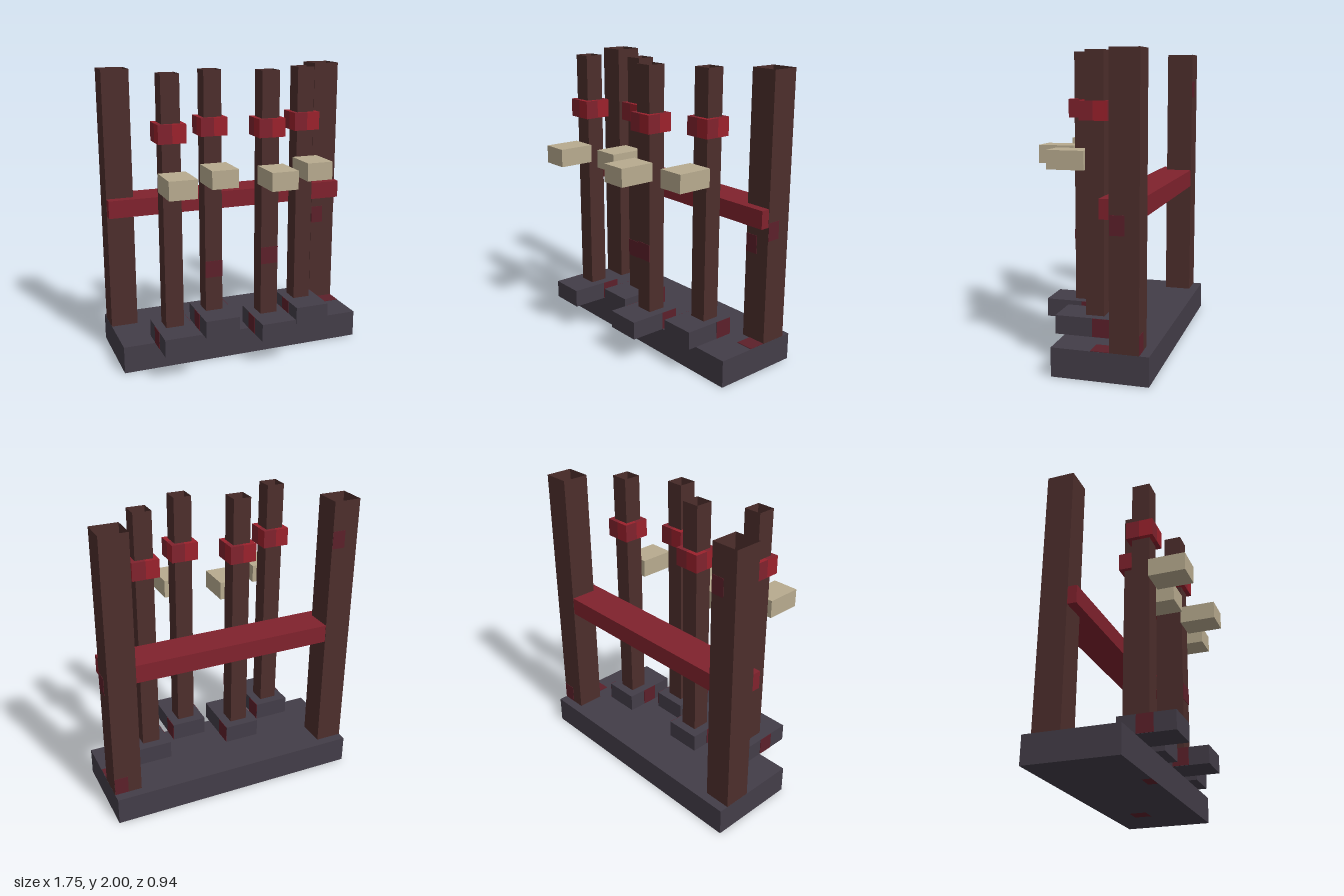
import * as THREE from 'three';

const mat = (name, color, side = THREE.FrontSide) => {
  const m = new THREE.MeshStandardMaterial({ color, side });
  m.name = name;
  return m;
};

export function createModel() {
  const slate = mat('slate', 0x433d48);
  const wood = mat('darkWood', 0x4d2e2c, THREE.DoubleSide);
  const crimson = mat('crimson', 0x80222d);
  const scarlet = mat('scarlet', 0x9b212c);
  const cream = mat('cream', 0xb8ab8f);
  const stain = mat('stain', 0x5c202a);

  const model = new THREE.Group();
  model.name = 'leverRack';

  // Box given by its extents on each axis
  const box = (parent, name, material, [x0, x1], [y0, y1], [z0, z1]) => {
    const mesh = new THREE.Mesh(new THREE.BoxGeometry(x1 - x0, y1 - y0, z1 - z0), material);
    mesh.position.set((x0 + x1) / 2, (y0 + y1) / 2, (z0 + z1) / 2);
    mesh.name = name;
    parent.add(mesh);
    return mesh;
  };

  // Square tube without end caps
  const tube = (parent, name, x, z, width, y0, y1) => {
    const geo = new THREE.BoxGeometry(width, y1 - y0, width);
    const index = Array.from(geo.index.array);
    geo.setIndex([...index.slice(0, 12), ...index.slice(24)]);
    geo.clearGroups();
    const mesh = new THREE.Mesh(geo, wood);
    mesh.position.set(x, (y0 + y1) / 2, z);
    mesh.name = name;
    parent.add(mesh);
  };

  // Thin painted patch centred on a surface
  const T = 0.003;
  const on = (v) => [v - T, v + T];
  const patch = (parent, x, y, z) => box(parent, 'stainPatch', stain, x, y, z);

  // Two-tone collar: each side is split in halves, top and bottom in a checker
  const collar = (parent, x, y, z) => {
    const geo = new THREE.BoxGeometry(0.186, 0.124, 0.186, 2, 1, 2);
    geo.clearGroups();
    const tones = [0, 1, 0, 1, 1, 0, 0, 1, 1, 0, 0, 1, 0, 1, 0, 1];
    tones.forEach((tone, i) => geo.addGroup(i * 6, 6, tone));
    const mesh = new THREE.Mesh(geo, [crimson, scarlet]);
    mesh.position.set(x, y, z);
    mesh.name = 'collar';
    parent.add(mesh);
  };

  // Base slab
  box(model, 'base', slate, [-0.875, 0.875], [0, 0.188], [-0.468, 0.156]);
  patch(model, [0.75, 0.873], on(0.188), [-0.22, -0.1]);
  patch(model, [0.41, 0.53], [0, 0.003], [-0.29, -0.17]);
  patch(model, [-0.38, -0.26], [0, 0.003], [0.09, 0.155]);

  // Tall frame posts and the cross bar running through them
  for (const s of [-1, 1]) tube(model, s > 0 ? 'leftPost' : 'rightPost', s * 0.781, -0.312, 0.187, 0.188, 2);
  box(model, 'crossBar', crimson, [-0.873, 0.873], [1.003, 1.126], [-0.403, -0.156]);
  patch(model, [0.69, 0.78], [0.8, 0.925], on(-0.218));
  patch(model, on(0.874), [0.91, 1.033], [-0.315, -0.22]);
  patch(model, [0.78, 0.873], [0.19, 0.312], on(-0.405));
  patch(model, [-0.78, -0.69], [1.68, 1.8], on(-0.405));

  // Four levers: foot, slim post, collar and handle block, staggered in depth
  [-0.533, -0.188, 0.153, 0.497].forEach((x, i) => {
    const z = i % 2 ? -0.03 : 0.157;
    const lever = new THREE.Group();
    lever.name = 'lever' + (i + 1);
    model.add(lever);

    box(lever, 'foot', slate, [x - 0.124, x + 0.124], [0.188, 0.312], [z - 0.125, z + 0.249]);
    patch(lever, on(x + 0.124), [0.19, 0.311], [z - 0.124, z]);
    patch(lever, on(x - 0.124), [0.19, 0.311], [z, z + 0.11]);

    tube(lever, 'slimPost', x, z, 0.124, 0.312, 2);
    collar(lever, x, 1.627, z);
    box(lever, 'handle', cream, [x - 0.093, x + 0.093], [1.253, 1.377], [z + 0.063, z + 0.311]);

    // Stains on the two middle posts
    if (i === 1) patch(lever, [x - 0.062, x + 0.062], [0.56, 0.68], on(z + 0.062));
    if (i === 2) patch(lever, [x - 0.062, x + 0.062], [0.68, 0.8], on(z + 0.062));
  });

  return model;
}
